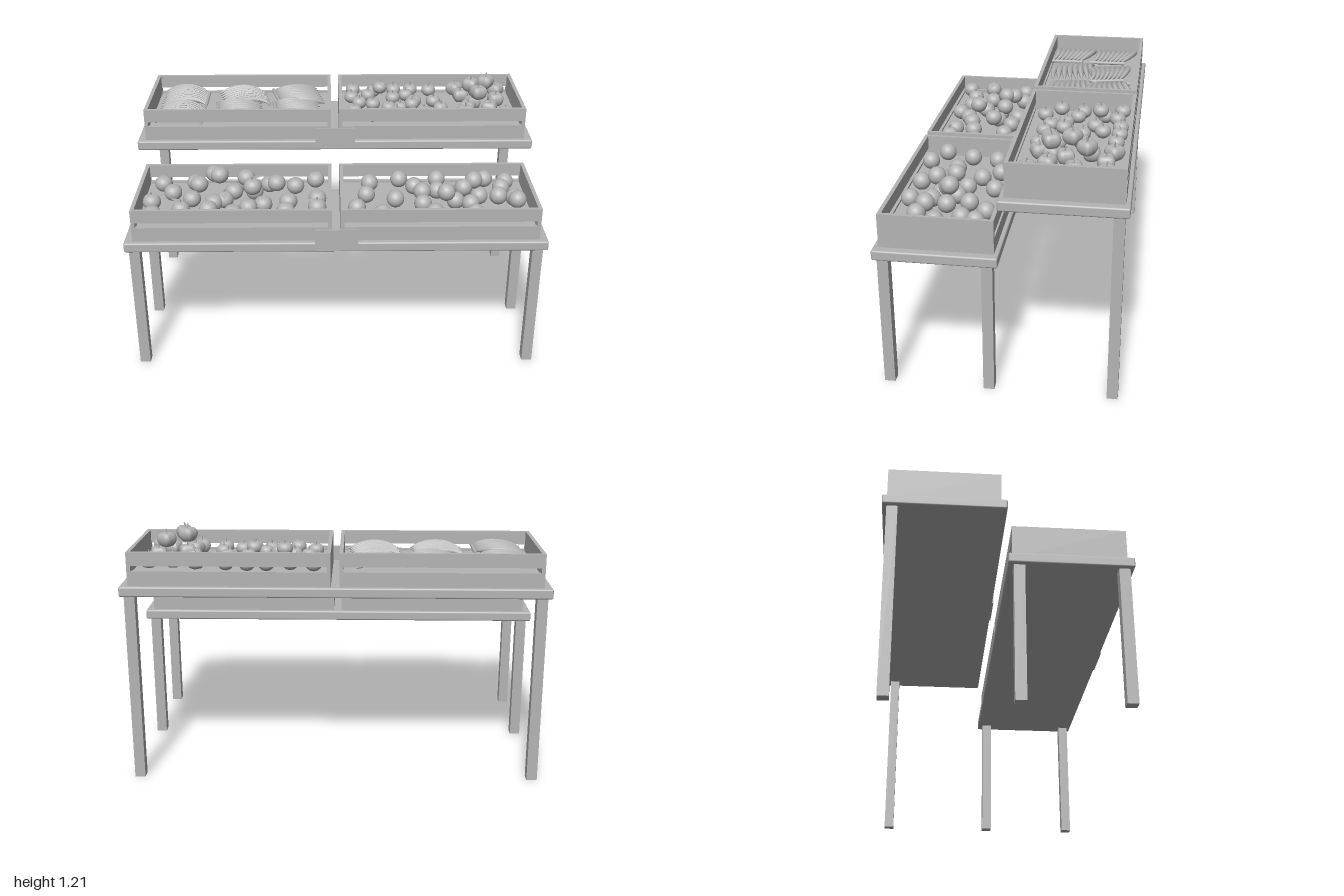
import * as THREE from 'three';
import { RoundedBoxGeometry } from 'three/addons/geometries/RoundedBoxGeometry.js';

const grey = new THREE.MeshStandardMaterial({ color: 0xb4b4b4 });
grey.name = 'plain grey';
grey.side = THREE.DoubleSide;

// [x, z, lift] in hundredths of a unit
const ORANGES = [[17, 13, 0], [32, 9, 0], [51, 9, 0], [75, 9, 0], [85, 12, 0], [15, 26, 0], [29, 31, 0],
  [39, 17, 0], [50, 22, 0], [60, 25, 0], [67, 18, 0], [82, 19, 0], [70, 28, 0], [42, 29, 3], [53, 36, 6],
  [58, 33, 0], [62, 29, 5], [67, 27, 8], [65, 36, 0], [78, 36, 4], [87, 38, 3], [87, 30, 0], [10, 40, 0],
  [22, 46, 0], [47, 45, 0], [66, 46, 0], [42, 36, 0]];
const PEACHES = [[-86, 13, 0], [-70, 12, 0], [-45, 12, 0], [-33, 14, 0], [-20, 16, 0], [-10, 9, 0],
  [-80, 23, 0], [-67, 22, 4], [-60, 16, 7], [-57, 20, 8], [-50, 22, 0], [-44, 19, 6], [-40, 22, 0],
  [-29, 23, 5], [-70, 30, 0], [-59, 34, 0], [-61, 41, 0], [-87, 46, 0], [-49, 45, 0], [-42, 39, 0],
  [-35, 36, 0], [-23, 33, 0], [-9, 30, 0], [-24, 43, 0]];
const LEAFY = [[-89, 33, 0], [-74, 41, 0], [-54, 31, 0], [-40, 33, 8], [-9, 43, 2]];
const TOMATOES = [[10, -48, 0], [21, -46, 0], [32, -48, 0], [41, -48, 0], [51, -47, 0], [9, -37, 0],
  [18, -40, 0], [24, -38, 5], [31, -36, 0], [38, -40, 0], [10, -18, 0], [13, -29, 0], [20, -27, 0],
  [28, -22, 0], [19, -11, 0], [32, -15, 0], [34, -22, 0], [40, -22, 2], [42, -31, 0], [52, -31, 0],
  [40, -13, 0], [46, -16, 0], [55, -21, 0], [55, -12, 0]];
const PEPPERS = [[65, -47, 0], [76, -44, 0], [87, -45, 0], [67, -37, 0], [80, -36, 8], [85, -31, 0],
  [71, -29, 9], [72, -26, 0], [69, -20, 0], [74, -20, 8], [80, -19, 0], [67, -14, 0], [87, -11, 0]];

function add(parent, name, geometry, x = 0, y = 0, z = 0) {
  const m = new THREE.Mesh(geometry, grey);
  m.name = name;
  m.position.set(x, y, z);
  parent.add(m);
  return m;
}

// Box given by its minimum and maximum corners
function slab(parent, name, x0, x1, y0, y1, z0, z1) {
  return add(parent, name, new THREE.BoxGeometry(x1 - x0, y1 - y0, z1 - z0),
    (x0 + x1) / 2, (y0 + y1) / 2, (z0 + z1) / 2);
}

// Open crate with solid ends and two slats at front and back
function crate(parent, x0, y, z0) {
  const g = new THREE.Group(), x1 = x0 + 0.94, z1 = z0 + 0.515, t = 0.018;
  g.name = 'crate';
  parent.add(g);
  slab(g, 'crateFloor', x0 + t, x1 - t, y + 0.045, y + 0.06, z0 + t, z1 - t);
  for (const x of [x0, x1 - t]) slab(g, 'crateEnd', x, x + t, y, y + 0.16, z0, z1);
  for (const z of [z0, z1 - t]) {
    slab(g, 'lowerSlat', x0 + t, x1 - t, y, y + 0.07, z, z + t);
    slab(g, 'upperSlat', x0 + t, x1 - t, y + 0.095, y + 0.16, z, z + t);
  }
}

// Table top with legs at the given depths, a front sign and two crates
function tier(parent, name, y, z0, legDepths) {
  const g = new THREE.Group();
  g.name = name;
  parent.add(g);
  add(g, 'tableTop', new RoundedBoxGeometry(2, 0.048, 0.56, 2, 0.008), 0, y - 0.024, z0 + 0.28);
  for (const z of legDepths) for (const s of [-1, 1])
    slab(g, 'leg', s * 0.955 - 0.025, s * 0.955 + 0.025, 0, y - 0.046, z - 0.025, z + 0.025);
  slab(g, 'signPlate', -0.1, 0.1, y - 0.038, y + 0.072, z0 + 0.559, z0 + 0.567);
  for (const x of [-0.96, 0.02]) crate(g, x, y, z0 + 0.02);
}

// Round fruit with a dimple around the stem
function dimpled(r, squash, dip) {
  const pts = [];
  for (let i = 0; i <= 12; i++) {
    const a = -Math.PI / 2 + (i / 12) * Math.PI;
    const sink = dip * Math.pow(Math.max(0, Math.sin(a)), 10);
    pts.push(new THREE.Vector2(Math.max(0, r * Math.cos(a)), r * squash * Math.sin(a) - sink));
  }
  return new THREE.LatheGeometry(pts, 18);
}

// Four-lobed pepper that narrows towards its base
function pepperGeometry() {
  const g = new THREE.SphereGeometry(0.042, 24, 14), p = g.attributes.position;
  for (let i = 0; i < p.count; i++) {
    const x = p.getX(i), y = p.getY(i), z = p.getZ(i);
    const lobe = 1 + 0.1 * Math.cos(4 * Math.atan2(z, x)) * Math.min(1, Math.hypot(x, z) / 0.02);
    const w = lobe * (1 + 2.5 * y);
    const dip = 0.014 * Math.exp(-(x * x + z * z) / 0.0003) * Math.sign(y);
    p.setXYZ(i, x * w, y - dip, z * w);
  }
  g.computeVertexNormals();
  return g;
}

// Tapered tube along a curve
function bananaGeometry(curve, radius) {
  const n = 12, sides = 7, g = new THREE.TubeGeometry(curve, n, radius, sides, false);
  const p = g.attributes.position, c = new THREE.Vector3(), v = new THREE.Vector3();
  for (let i = 0; i <= n; i++) {
    const t = i / n;
    const k = Math.max(0.15, Math.min(1, Math.pow(Math.sin(Math.PI * t), 0.6) * 1.05));
    curve.getPointAt(t, c);
    for (let j = 0; j <= sides; j++) {
      const id = i * (sides + 1) + j;
      v.fromBufferAttribute(p, id).sub(c).multiplyScalar(k).add(c);
      p.setXYZ(id, v.x, v.y, v.z);
    }
  }
  g.computeVertexNormals();
  return g;
}

// Bunch lying flat, fanning towards -x from a stalk at its origin
function bananaBunch(parent, x, z, turn) {
  const g = new THREE.Group();
  g.name = 'bananaBunch';
  g.position.set(x, 1.045, z);
  g.rotation.y = turn;
  parent.add(g);
  const stalk = add(g, 'stalk', new THREE.CylinderGeometry(0.009, 0.009, 0.19, 8), 0, 0.01, 0);
  stalk.rotation.x = Math.PI / 2;
  for (let i = 0; i < 8; i++) {
    const a = -0.075 + i * 0.022, e = -0.145 + i * 0.031;
    const curve = new THREE.CubicBezierCurve3(
      new THREE.Vector3(0, 0.012, a), new THREE.Vector3(-0.05, 0.04, a - 0.05),
      new THREE.Vector3(-0.14, 0.04, e - 0.015), new THREE.Vector3(-0.235, 0.005, e));
    add(g, 'banana', bananaGeometry(curve, 0.016));
  }
}

// Pointed leaf, thin and slightly drooping
function leafGeometry() {
  const s = new THREE.Shape();
  s.moveTo(0, 0);
  s.quadraticCurveTo(0.03, 0.025, 0.07, 0);
  s.quadraticCurveTo(0.03, -0.025, 0, 0);
  return new THREE.ShapeGeometry(s, 6).rotateX(-Math.PI / 2).rotateZ(-0.15);
}

export function createModel() {
  const model = new THREE.Group();
  model.name = 'produceStand';
  tier(model, 'lowerTier', 0.69, 0, [0.515, 0.05]);
  tier(model, 'upperTier', 0.965, -0.56, [-0.515]);

  const stem = new THREE.CylinderGeometry(0.003, 0.004, 0.022, 6);
  const leaf = leafGeometry();
  const scatter = (name, spots, geometry, y, stemY) => spots.forEach(([x, z, lift], i) => {
    const g = new THREE.Group();
    g.name = name;
    g.position.set(x / 100, y + lift / 100, z / 100);
    g.rotation.y = i * 2.4;
    model.add(g);
    add(g, name + 'Body', geometry);
    if (stemY) add(g, name + 'Stem', stem, 0, stemY, 0).rotation.z = 0.2;
    if (name === 'leafyPeach') add(g, 'leaf', leaf, 0, 0.043, 0);
  });

  // Lower crates
  const peach = dimpled(0.044, 0.96, 0.005);
  scatter('orange', ORANGES, new THREE.SphereGeometry(0.043, 20, 14), 0.795, 0);
  scatter('peach', PEACHES, peach, 0.795, 0);
  scatter('leafyPeach', LEAFY, peach, 0.795, 0.042);

  // Upper crates
  scatter('tomato', TOMATOES, dimpled(0.038, 0.88, 0.008), 1.06, 0.032);
  scatter('pepper', PEPPERS, pepperGeometry(), 1.067, 0.04);
  bananaBunch(model, -0.675, -0.35, 0);
  bananaBunch(model, -0.36, -0.36, 0.2);
  bananaBunch(model, -0.31, -0.4, Math.PI + 0.22);
  bananaBunch(model, -0.675, -0.12, 0);
  bananaBunch(model, -0.61, -0.21, Math.PI + 0.08);
  bananaBunch(model, -0.31, -0.22, Math.PI + 0.12);
  return model;
}
